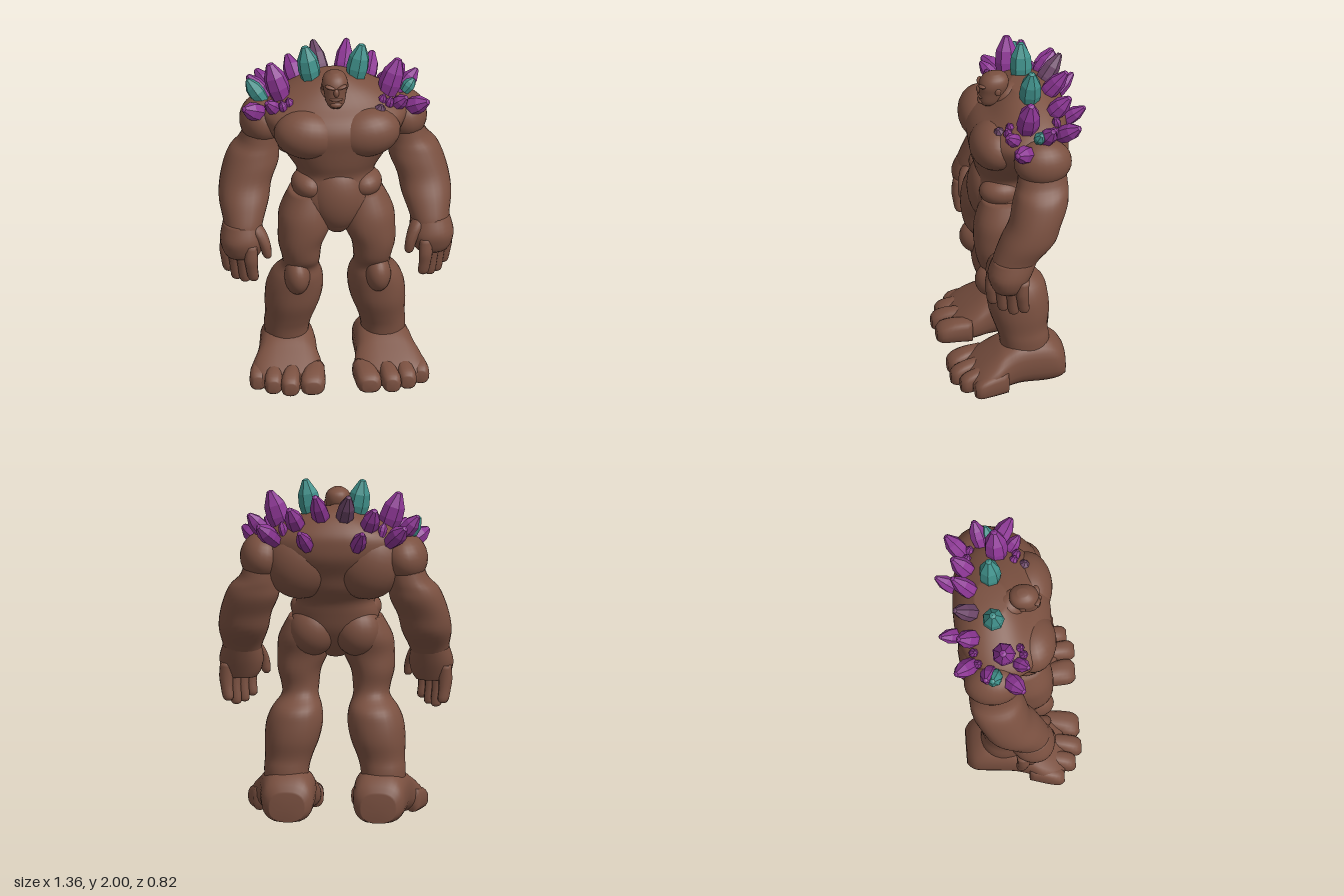
import * as THREE from 'three';

const mat = (name, color) => {
  const m = new THREE.MeshStandardMaterial({ color });
  m.name = name;
  return m;
};

// Catmull-Rom blend of two neighbouring cross-sections
const blend = (a, b, c, d, t) => b.map((_, k) => 0.5 * (2 * b[k] + (c[k] - a[k]) * t
  + (2 * a[k] - 5 * b[k] + 4 * c[k] - d[k]) * t * t + (3 * b[k] - a[k] - 3 * c[k] + d[k]) * t ** 3));

// Smooth closed body from sections [position, centreA, centreB, radiusA, radiusB] along y or z
function loft(sections, { axis = 'y', s = 1, power = 2.2, sides = 28, steps = 4 } = {}) {
  const rows = [], pos = [], idx = [], n = sections.length;
  const at = i => sections[Math.min(n - 1, Math.max(0, i))];
  for (let i = 0; i < n - 1; i++) {
    for (let k = 0; k < steps; k++) rows.push(blend(at(i - 1), at(i), at(i + 1), at(i + 2), k / steps));
  }
  rows.push(at(n - 1));
  const first = [...rows[0]], last = [...rows[rows.length - 1]];
  first[3] = first[4] = last[3] = last[4] = 0;
  rows.unshift(first);
  rows.push(last);
  const bend = v => Math.sign(v) * Math.abs(v) ** (2 / power);
  rows.forEach(([p, a, b, ra, rb]) => {
    for (let j = 0; j < sides; j++) {
      const t = j / sides * Math.PI * 2;
      const u = a * s + ra * bend(Math.cos(t)), v = b + rb * bend(Math.sin(t));
      if (axis === 'y') pos.push(u, p, v);
      else pos.push(u, Math.max(0, v), p);
    }
  });
  for (let i = 0; i < rows.length - 1; i++) {
    for (let j = 0; j < sides; j++) {
      const a = i * sides + j, b = i * sides + (j + 1) % sides, c = a + sides, d = b + sides;
      if (axis === 'y') idx.push(a, c, b, b, c, d);
      else idx.push(a, b, c, b, d, c);
    }
  }
  const g = new THREE.BufferGeometry();
  g.setAttribute('position', new THREE.Float32BufferAttribute(pos, 3));
  g.setIndex(idx);
  g.computeVertexNormals();
  return g;
}

export function createModel() {
  const model = new THREE.Group();
  model.name = 'stoneGiant';
  const skin = mat('brownSkin', 0x7a5040);
  const purple = mat('purpleCrystal', 0x8c3694);
  const teal = mat('tealCrystal', 0x40908a);
  const dull = mat('dullPurpleCrystal', 0x6b4567);

  const group = name => {
    const g = new THREE.Group();
    g.name = name;
    model.add(g);
    return g;
  };
  const add = (parent, name, geometry, material = skin) => {
    const m = new THREE.Mesh(geometry, material);
    m.name = name;
    parent.add(m);
    return m;
  };
  const ball = (parent, name, p, r, tilt = 0) => {
    const m = add(parent, name, new THREE.SphereGeometry(1, 24, 16));
    m.position.set(...p);
    m.scale.set(...r);
    m.rotation.z = tilt;
  };

  // Torso with muscle masses
  const torso = group('torso');
  add(torso, 'trunk', loft([
    [0.93, 0, 0.09, 0.05, 0.08], [1.0, 0, 0.08, 0.16, 0.13], [1.1, 0, 0.06, 0.24, 0.17],
    [1.2, 0, 0.04, 0.25, 0.18], [1.28, 0, 0.02, 0.225, 0.185], [1.36, 0, 0, 0.27, 0.225],
    [1.45, 0, -0.01, 0.34, 0.25], [1.55, 0, -0.03, 0.4, 0.28], [1.63, 0, -0.055, 0.425, 0.265],
    [1.7, 0, -0.09, 0.36, 0.22], [1.77, 0, -0.1, 0.235, 0.16], [1.825, 0, -0.1, 0.1, 0.09],
  ], { sides: 40 }));
  ball(torso, 'belly', [0, 1.14, 0.14], [0.16, 0.2, 0.11]);
  for (const s of [-1, 1]) {
    ball(torso, 'pectoral', [s * 0.17, 1.54, 0.125], [0.2, 0.145, 0.145], s * 0.15);
    ball(torso, 'oblique', [s * 0.16, 1.21, 0.08], [0.105, 0.085, 0.13], s * 0.2);
    ball(torso, 'backMuscle', [s * 0.2, 1.52, -0.14], [0.21, 0.22, 0.165], s * -0.3);
    ball(torso, 'buttock', [s * 0.13, 1.09, -0.01], [0.14, 0.15, 0.13]);
  }

  // Small head set forward of the shoulders
  const head = group('head');
  head.position.x = -0.01;
  add(head, 'skull', loft([
    [1.71, 0, 0.12, 0.035, 0.045], [1.74, 0, 0.115, 0.055, 0.065], [1.8, 0, 0.1, 0.066, 0.08],
    [1.85, 0, 0.092, 0.074, 0.086], [1.89, 0, 0.085, 0.06, 0.07], [1.915, 0, 0.085, 0.025, 0.03],
  ], { power: 2.2 }));
  ball(head, 'neck', [0, 1.73, 0], [0.1, 0.1, 0.1]);
  ball(head, 'nose', [0, 1.815, 0.178], [0.016, 0.026, 0.018]);
  ball(head, 'lips', [0, 1.772, 0.172], [0.04, 0.009, 0.016]);
  ball(head, 'chin', [0, 1.738, 0.168], [0.035, 0.02, 0.022]);
  for (const s of [-1, 1]) {
    ball(head, 'brow', [s * 0.03, 1.846, 0.164], [0.036, 0.012, 0.022], s * 0.25);
    ball(head, 'ear', [s * 0.07, 1.82, 0.08], [0.01, 0.025, 0.018]);
  }

  for (const s of [-1, 1]) {
    const side = s > 0 ? 'left' : 'right';

    // Arm, palm, four hanging fingers and thumb
    const arm = group(side + 'Arm');
    ball(arm, 'shoulder', [s * 0.415, 1.545, -0.115], [0.13, 0.14, 0.17], s * 0.15);
    add(arm, 'armBody', loft([
      [0.95, 0.545, 0.085, 0.11, 0.125], [1.0, 0.54, 0.06, 0.118, 0.138], [1.1, 0.53, -0.005, 0.145, 0.16],
      [1.2, 0.515, -0.05, 0.15, 0.152], [1.3, 0.48, -0.085, 0.157, 0.16], [1.37, 0.46, -0.1, 0.143, 0.155],
      [1.44, 0.43, -0.11, 0.11, 0.145], [1.6, 0.4, -0.11, 0.09, 0.13],
    ], { s }));
    add(arm, 'palm', loft([
      [0.79, 0.55, 0.115, 0.09, 0.085], [0.83, 0.55, 0.115, 0.115, 0.105],
      [0.9, 0.55, 0.105, 0.128, 0.128], [0.99, 0.545, 0.07, 0.11, 0.13],
    ], { s }));
    for (let i = 0; i < 4; i++) {
      const x = 0.636 - i * 0.043, z = 0.04 + i * 0.053, tip = [0.66, 0.63, 0.635, 0.66][i];
      add(arm, 'finger', loft([
        [tip, x - 0.015, z - 0.005, 0.018, 0.018], [tip + 0.02, x - 0.013, z - 0.003, 0.032, 0.032],
        [0.74, x - 0.004, z + 0.004, 0.035, 0.035], [0.8, x, z + 0.008, 0.04, 0.038],
        [0.88, x, z, 0.034, 0.034],
      ], { s, sides: 12, steps: 3 }));
    }
    add(arm, 'thumb', loft([
      [0.795, 0.41, 0.185, 0.014, 0.018], [0.815, 0.413, 0.185, 0.027, 0.034],
      [0.88, 0.427, 0.18, 0.034, 0.042], [0.95, 0.46, 0.15, 0.042, 0.055], [0.99, 0.48, 0.13, 0.03, 0.04],
    ], { s, sides: 12, steps: 3 }));

    // Leg with kneecap
    const leg = group(side + 'Leg');
    add(leg, 'legBody', loft([
      [0.12, 0.28, -0.04, 0.12, 0.14], [0.27, 0.28, -0.03, 0.13, 0.145], [0.35, 0.268, -0.015, 0.137, 0.152],
      [0.45, 0.25, -0.005, 0.158, 0.175], [0.55, 0.235, 0.005, 0.164, 0.178], [0.63, 0.222, 0.02, 0.145, 0.17],
      [0.7, 0.207, 0.055, 0.108, 0.13], [0.76, 0.207, 0.085, 0.11, 0.14], [0.85, 0.212, 0.09, 0.127, 0.155],
      [0.95, 0.19, 0.09, 0.15, 0.16], [1.05, 0.18, 0.07, 0.15, 0.165], [1.17, 0.16, 0.05, 0.11, 0.14],
    ], { s }));
    ball(leg, 'kneecap', [s * 0.235, 0.655, 0.15], [0.075, 0.11, 0.1]);

    // Foot with four toes, flat on the ground
    add(leg, 'foot', loft([
      [-0.26, 0.265, 0.085, 0.1, 0.085], [-0.22, 0.265, 0.11, 0.142, 0.12], [-0.14, 0.268, 0.13, 0.155, 0.15],
      [0, 0.275, 0.14, 0.165, 0.15], [0.09, 0.285, 0.12, 0.175, 0.135], [0.17, 0.295, 0.09, 0.2, 0.11],
      [0.25, 0.3, 0.06, 0.2, 0.08], [0.3, 0.29, 0.05, 0.16, 0.05],
    ], { axis: 'z', s, power: 2.5 }));
    for (const [x, r, end] of [[0.165, 0.07, 0.4], [0.295, 0.054, 0.405], [0.39, 0.052, 0.365], [0.472, 0.05, 0.295]]) {
      add(leg, 'toe', loft([
        [end - 0.2, x - 0.03, 0.07, r * 0.8, 0.07], [end - 0.1, x - 0.01, 0.065, r, 0.068],
        [end - 0.03, x, 0.052, r, 0.056], [end, x, 0.045, r * 0.6, 0.035],
      ], { axis: 'z', s, sides: 16, steps: 3, power: 2.6 }));
    }
  }

  // Faceted crystals growing from shoulders and back
  const crystals = group('crystals');
  const profile = [[0, 0], [0.7, 0], [1, 0.42], [0.9, 0.68], [0.3, 0.97], [0, 1]].map(p => new THREE.Vector2(...p));
  const facets = new THREE.LatheGeometry(profile, 7).toNonIndexed();
  facets.computeVertexNormals();
  const up = new THREE.Vector3(0, 1, 0);
  const crystal = (base, tip, r, material = purple) => {
    const a = new THREE.Vector3(...base), d = new THREE.Vector3(...tip).sub(a);
    const m = add(crystals, 'crystal', facets, material);
    m.position.copy(a);
    m.scale.set(r, d.length(), r);
    m.quaternion.setFromUnitVectors(up, d.normalize());
  };
  for (const s of [-1, 1]) {
    const pair = ([x, y, z], [u, v, w], r, m) => crystal([s * x, y, z], [s * u, v, w], r, m);
    pair([0.12, 1.74, -0.09], [0.168, 2.0, -0.1], 0.066, teal);
    pair([0.29, 1.66, -0.04], [0.378, 1.92, -0.055], 0.07);
    pair([0.32, 1.64, -0.21], [0.43, 1.76, -0.335], 0.054);
    pair([0.13, 1.6, -0.25], [0.185, 1.74, -0.41], 0.046);
    pair([0.19, 1.69, -0.18], [0.25, 1.86, -0.31], 0.056);
    pair([0.05, 1.72, -0.16], [0.1, 1.94, -0.32], 0.054, s < 0 ? dull : purple);
    pair([0.38, 1.66, -0.125], [0.495, 1.8, -0.165], 0.05);
    pair([0.4, 1.6, -0.05], [0.54, 1.685, 0.06], 0.056);
    pair([0.33, 1.64, 0.01], [0.41, 1.735, 0.095], 0.043);
    // Small shards
    for (const [x, y, z] of [[0.31, 1.68, 0.07], [0.27, 1.69, 0.05], [0.35, 1.68, -0.2], [0.29, 1.71, -0.22]]) {
      pair([x - 0.01, y - 0.025, z - 0.01], [x + 0.01, y + 0.055, z + 0.01], 0.027);
    }
  }
  crystal([-0.4, 1.65, -0.1], [-0.5, 1.79, -0.125], 0.052, teal);
  crystal([0.41, 1.69, -0.09], [0.47, 1.765, -0.1], 0.038, teal);
  crystal([0.24, 1.63, 0.1], [0.26, 1.705, 0.12], 0.035, dull);

  return model;
}
